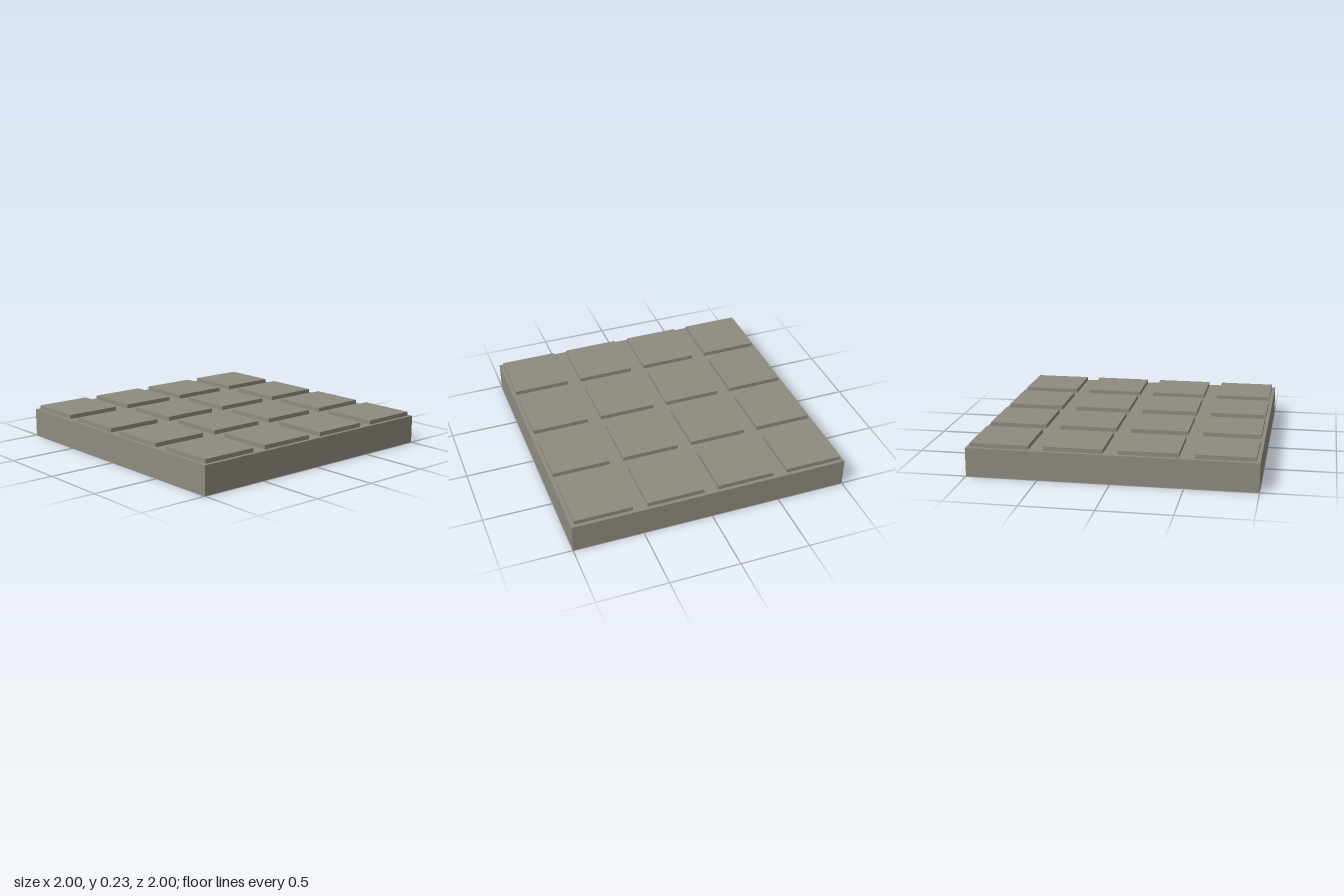
import * as THREE from 'three';

export function createModel() {
  const model = new THREE.Group();
  model.name = 'tiledFloor';

  const stone = new THREE.MeshStandardMaterial({ color: 0x8f8b80 });
  stone.name = 'warm grey stone';

  const slabHeight = 0.203;
  const tileHeight = 0.03;
  const tileSize = 0.41;
  const pitch = 0.513;
  const count = 4;

  // Base slab
  const slab = new THREE.Mesh(new THREE.BoxGeometry(2, slabHeight, 2), stone);
  slab.name = 'slab';
  slab.position.y = slabHeight / 2;
  model.add(slab);

  // Raised square paving tiles in an even grid
  const tiles = new THREE.Group();
  tiles.name = 'tiles';
  const tileGeometry = new THREE.BoxGeometry(tileSize, tileHeight, tileSize);
  const middle = (count - 1) / 2;
  for (let row = 0; row < count; row++) {
    for (let column = 0; column < count; column++) {
      const tile = new THREE.Mesh(tileGeometry, stone);
      tile.name = `tile${row + 1}x${column + 1}`;
      tile.position.set((column - middle) * pitch, slabHeight + tileHeight / 2, (row - middle) * pitch);
      tiles.add(tile);
    }
  }
  model.add(tiles);

  return model;
}
